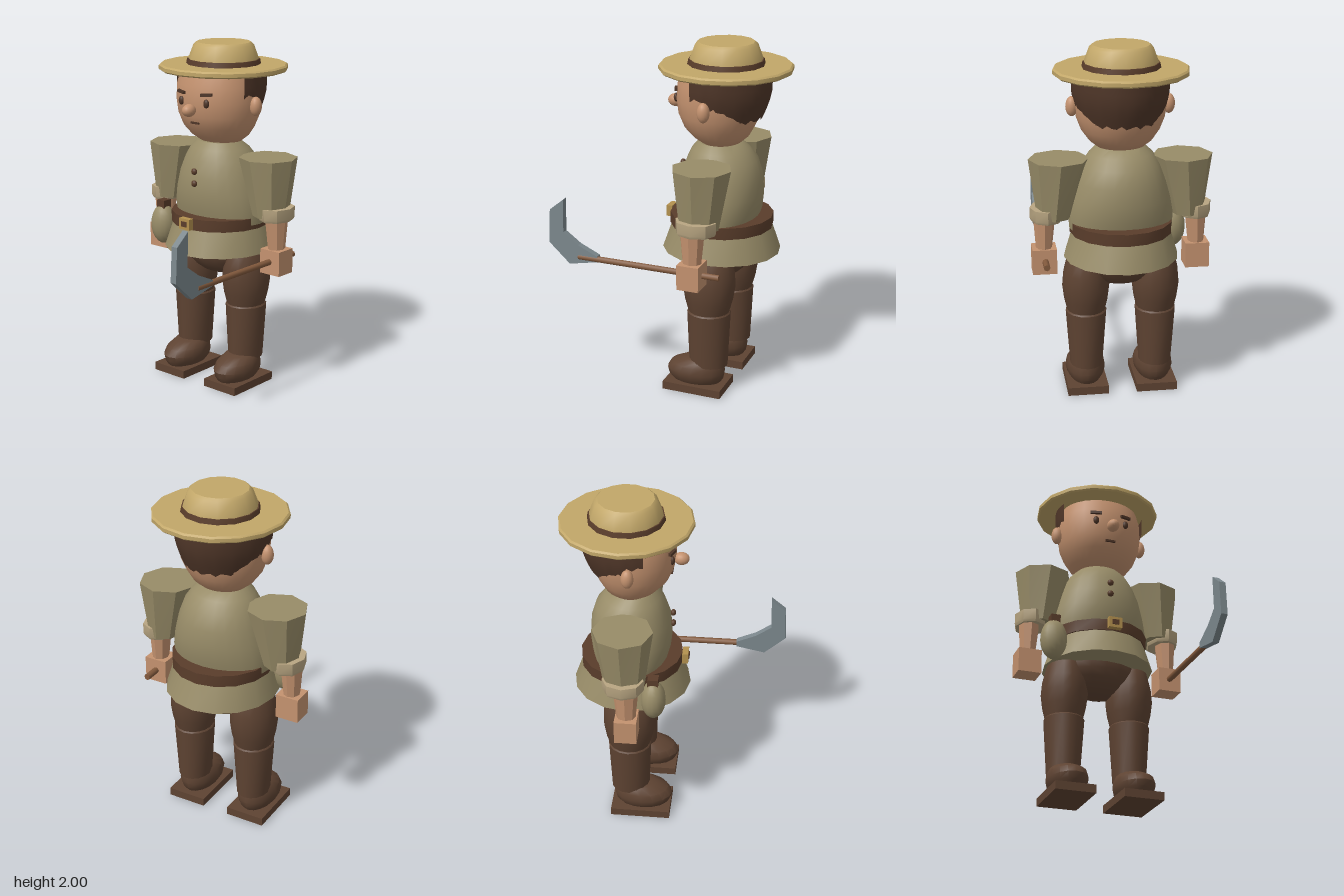
import * as THREE from 'three';
import { toCreasedNormals } from 'three/addons/utils/BufferGeometryUtils.js';

const paint = (name, color) => Object.assign(new THREE.MeshStandardMaterial({ color }), { name });

// Capped stack of elliptical rings, bottom to top: [y, rx, rz, centreZ, centreX]
function loft(rows, seg = 16, crease = 0.65) {
  const pos = [], idx = [];
  rows.forEach(([y, rx, rz, cz = 0, cx = 0]) => {
    for (let i = 0; i < seg; i++) {
      const a = (i / seg) * Math.PI * 2;
      pos.push(cx + rx * Math.sin(a), y, cz + rz * Math.cos(a));
    }
  });
  for (let r = 0; r < rows.length - 1; r++) {
    for (let i = 0; i < seg; i++) {
      const a = r * seg + i, b = r * seg + (i + 1) % seg;
      idx.push(a, b, b + seg, a, b + seg, a + seg);
    }
  }
  const top = (rows.length - 1) * seg;
  for (let i = 1; i < seg - 1; i++) {
    idx.push(0, i + 1, i, top, top + i, top + i + 1);
  }
  const g = new THREE.BufferGeometry();
  g.setAttribute('position', new THREE.Float32BufferAttribute(pos, 3));
  g.setIndex(idx);
  return toCreasedNormals(g, crease);
}

// Hair shell wrapping the back of the head, with an uneven lower edge
function hairGeometry() {
  const cols = 32, rows = 6, pos = [], idx = [];
  for (let c = 0; c <= cols; c++) {
    const t = (c / cols * 2 - 1) * 1.9, s = Math.abs(t);
    const jag = 0.012 * Math.sin(c * 2.3);
    const low = (s > 1.5 ? 1.72 : s > 1.1 ? 1.63 : 1.59) + jag;
    for (let r = 0; r <= rows; r++) {
      const y = low + (1.865 - low) * r / rows;
      const f = 1 - 2.6 * Math.pow(Math.max(0, 1.75 - y), 1.5);
      pos.push(0.266 * f * Math.sin(t), y, -0.225 - (0.255 + 0.035 * Math.max(0, Math.cos(t))) * f * Math.cos(t));
    }
  }
  for (let c = 0; c < cols; c++) {
    for (let r = 0; r < rows; r++) {
      const a = c * (rows + 1) + r, b = a + rows + 1;
      idx.push(a, a + 1, b + 1, a, b + 1, b);
    }
  }
  const g = new THREE.BufferGeometry();
  g.setAttribute('position', new THREE.Float32BufferAttribute(pos, 3));
  g.setIndex(idx);
  g.computeVertexNormals();
  return g;
}

export function createModel() {
  const model = new THREE.Group();
  model.name = 'farmer';
  const straw = paint('straw', 0xc2a769);
  const tunic = paint('tunic cloth', 0x988c68);
  const brown = paint('trouser brown', 0x5e4332);
  const dark = paint('hair brown', 0x4f3628);
  dark.side = THREE.DoubleSide;
  const leather = paint('belt leather', 0x5a3d2b);
  const skin = paint('skin', 0xc4926f);
  const linen = paint('cuff linen', 0xb9a682);
  const steel = paint('steel', 0x7c888d);
  const wood = paint('wood', 0x835a3d);
  const gold = paint('brass', 0xb4914f);

  const add = (name, geo, mat, x = 0, y = 0, z = 0) => {
    const m = new THREE.Mesh(geo, mat);
    m.name = name;
    m.position.set(x, y, z);
    model.add(m);
    return m;
  };
  const box = (w, h, d) => new THREE.BoxGeometry(w, h, d);
  const ball = (rx, ry, rz) => new THREE.SphereGeometry(1, 16, 12).scale(rx, ry, rz);

  // Hat
  const hz = -0.26;
  add('hatBrim', loft([[1.84, 0.36, 0.36, hz], [1.848, 0.37, 0.37, hz], [1.868, 0.37, 0.37, hz], [1.877, 0.36, 0.36, hz]]), straw);
  add('hatBand', loft([[1.87, 0.215, 0.215, hz], [1.905, 0.208, 0.208, hz]], 14), leather);
  add('hatCrown', loft([[1.87, 0.205, 0.205, hz], [1.905, 0.202, 0.202, hz], [1.985, 0.172, 0.172, hz], [2, 0.155, 0.155, hz]], 14), straw);

  // Head and face
  const hc = -0.225;
  add('head', loft([[1.425, 0.09, 0.07, hc - 0.02], [1.44, 0.13, 0.11, hc - 0.015], [1.475, 0.175, 0.155, hc - 0.01],
    [1.53, 0.215, 0.195, hc], [1.6, 0.242, 0.225, hc], [1.68, 0.253, 0.236, hc], [1.77, 0.25, 0.23, hc],
    [1.86, 0.228, 0.2, hc]], 28, 0.9), skin);
  add('hair', hairGeometry(), dark);
  add('nose', ball(0.036, 0.036, 0.044), skin, 0, 1.643, 0.037);
  add('mouth', box(0.06, 0.012, 0.02), dark, 0, 1.565, -0.018);
  for (const s of [-1, 1]) {
    add('ear', ball(0.034, 0.055, 0.035), skin, s * 0.265, 1.662, -0.228);
    add('eye', ball(0.018, 0.025, 0.014), dark, s * 0.092, 1.685, -0.004);
    const brow = add('eyebrow', box(0.068, 0.016, 0.022), dark, s * 0.092, 1.735, -0.006);
    brow.rotation.set(0, s * 0.35, s * 0.06);
  }

  // Tunic, belt and skirt
  const bz = -0.245;
  add('torso', loft([[0.98, 0.288, 0.2, bz], [1.06, 0.292, 0.222, bz], [1.15, 0.276, 0.232, bz], [1.25, 0.25, 0.225, bz],
    [1.34, 0.215, 0.197, bz], [1.4, 0.175, 0.16, bz + 0.01], [1.44, 0.13, 0.115, bz + 0.02]], 24), tunic);
  add('skirt', loft([[0.81, 0.32, 0.337, bz], [0.97, 0.272, 0.28, bz]], 16), tunic);
  add('belt', loft([[0.955, 0.285, 0.292, bz], [1.022, 0.288, 0.292, bz]], 16), leather);
  add('buckle', box(0.078, 0.064, 0.034), gold, 0, 0.993, 0.062);
  add('buckleCentre', box(0.038, 0.03, 0.008), leather, 0, 0.993, 0.08);
  for (const y of [1.215, 1.285]) add('button', ball(0.019, 0.019, 0.015), leather, 0, y, -0.008);

  // Belt pouch
  add('pouch', ball(0.078, 0.12, 0.07), tunic, -0.315, 0.907, -0.09);
  add('pouchTie', box(0.055, 0.06, 0.06), leather, -0.312, 1.024, -0.09);

  // Hips
  add('hips', ball(0.24, 0.18, 0.18), brown, 0, 0.82, bz);

  for (const s of [-1, 1]) {
    // Leg, boot and shoe
    add('thigh', loft([[0.48, 0.105, 0.115, bz], [0.56, 0.124, 0.137, bz], [0.64, 0.134, 0.15, bz],
      [0.72, 0.127, 0.147, bz], [0.81, 0.105, 0.13, bz], [0.86, 0.08, 0.1, bz]]), brown, s * 0.197);
    add('boot', loft([[0.16, 0.093, 0.112, bz], [0.485, 0.116, 0.125, bz], [0.493, 0.11, 0.119, bz]]), brown, s * 0.197);
    add('shoe', loft([[0.045, 0.085, 0.145, -0.17], [0.075, 0.105, 0.165, -0.17], [0.11, 0.113, 0.173, -0.17],
      [0.15, 0.106, 0.158, -0.18], [0.185, 0.085, 0.115, -0.215], [0.2, 0.065, 0.075, -0.24]]), brown, s * 0.197);
    add('sole', box(0.232, 0.047, 0.35), brown, s * 0.197, 0.0235, -0.18);

    // Flared sleeve, cuff, forearm and hand
    add('sleeve', loft([[1.05, 0.095, 0.115, bz, s * 0.37], [1.38, 0.167, 0.167, -0.25, s * 0.342]], 8), tunic);
    add('cuff', loft([[1.03, 0.087, 0.108, bz, s * 0.412], [1.045, 0.093, 0.116, bz, s * 0.412],
      [1.105, 0.093, 0.116, bz, s * 0.412]], 8), linen);
    add('forearm', loft([[0.85, 0.044, 0.053, -0.23, s * 0.428], [1.05, 0.062, 0.072, -0.23, s * 0.424]], 8), skin);
    add('hand', box(0.135, 0.142, 0.125), skin, s * 0.428, 0.795, -0.229);
  }

  // Bladed tool held forward in the left hand
  const handle = add('toolHandle', new THREE.CylinderGeometry(0.018, 0.018, 0.84, 8), wood, 0.425, 0.798, 0.033);
  handle.rotation.x = Math.PI / 2;
  const outline = [[0.335, 0.785], [0.505, 0.75], [0.63, 0.865], [0.62, 1.06], [0.535, 1.13], [0.54, 0.935], [0.45, 0.87], [0.335, 0.818]];
  const shape = new THREE.Shape(outline.map(([z, y]) => new THREE.Vector2(-z, y)));
  const blade = new THREE.ExtrudeGeometry(shape, { depth: 0.038, bevelEnabled: false });
  blade.rotateY(Math.PI / 2);
  add('toolBlade', blade, steel, 0.4);
  return model;
}
